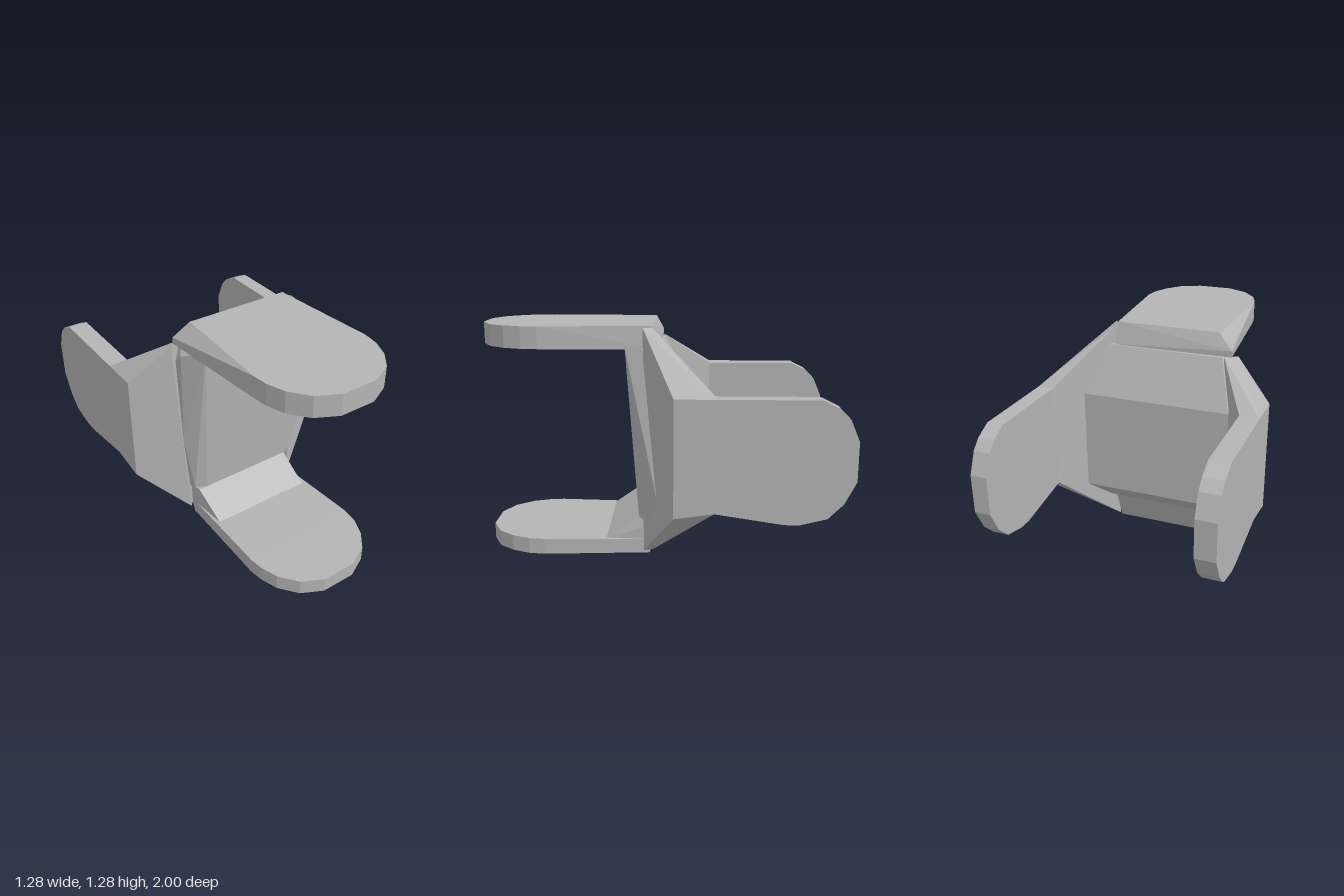
import * as THREE from 'three';
import { ConvexGeometry } from 'three/addons/geometries/ConvexGeometry.js';

export function createModel() {
  const group = new THREE.Group();
  const grey = new THREE.MeshStandardMaterial({ color: 0xb4b4b4, flatShading: true });
  grey.name = 'plain grey';

  // Faceted solid from its corner points
  const solid = (name, corners) => {
    const geo = new ConvexGeometry(corners.map((c) => new THREE.Vector3(...c)));
    const mesh = new THREE.Mesh(geo, grey);
    mesh.name = name;
    group.add(mesh);
  };

  // Rounded end shared by both front tongues, as x, z
  const frontEnd = [[0.34, 0.66], [0.33, 0.75], [0.29, 0.85], [0.22, 0.94], [0.1, 1],
    [-0.1, 1], [-0.22, 0.94], [-0.3, 0.84], [-0.335, 0.74], [-0.345, 0.66]];
  const slab = (y0, y1) => frontEnd.flatMap(([x, z]) => [[x, y0, z], [x, y1, z]]);

  // Upper tongue with a slanted left flank
  solid('upperTongue', [...slab(1.165, 1.285),
    [0.285, 1.285, 0.05], [-0.315, 1.285, 0.05],
    [0.29, 1.16, 0.01], [-0.4, 1.165, 0.01], [-0.4, 1.2, 0.01]]);

  // Lower tongue and the ramp joining it to the hub
  solid('lowerTongue', [...slab(0, 0.09),
    [0.3, 0, 0.07], [-0.34, 0, 0.07], [0.3, 0.08, 0.07], [-0.34, 0.08, 0.07]]);
  solid('lowerRamp', [
    [0.28, 0.21, 0.13], [-0.34, 0.21, 0.13], [0.29, 0.08, 0.32], [-0.32, 0.08, 0.32],
    [0.3, 0, 0.07], [-0.34, 0, 0.07], [0.3, 0.18, 0], [-0.34, 0.18, 0]]);

  // Hub with bevelled back and uneven front flanks
  solid('hub', [
    [0.28, 1.165, 0.2], [-0.315, 1.165, 0.2], [0.28, 0.21, 0.13], [-0.285, 0.21, 0.13],
    [0.29, 1.165, 0.1], [0.48, 0.37, 0.02], [0.38, 0.21, 0.08],
    [-0.39, 1.11, 0.07], [-0.39, 0.55, 0.06], [-0.35, 0.21, 0.1],
    [0.34, 1.16, 0], [-0.35, 1.16, 0], [0.43, 0.89, -0.13], [-0.43, 0.89, -0.13],
    [0.43, 0.3, -0.13], [-0.43, 0.3, -0.13], [0.36, 0.18, 0], [-0.36, 0.18, 0]]);

  // Rear tongue outline, as z, y
  const rearEnd = [[-0.28, 0.96], [-0.81, 0.96], [-0.9, 0.915], [-0.95, 0.865], [-1, 0.75],
    [-1, 0.54], [-0.94, 0.42], [-0.86, 0.34], [-0.72, 0.305], [-0.64, 0.305], [-0.28, 0.36]];

  // Side wings and rear tongues
  for (const s of [1, -1]) {
    const side = s > 0 ? 'left' : 'right';
    const inner = s > 0 ? 0.55 : 0.53;
    // The upper corner sits lower on the right wing
    const top = s > 0
      ? [[0.315, 1.275, 0.1], [0.285, 1.275, 0.05]]
      : [[0.43, 1.165, 0.04], [0.36, 1.165, 0]];
    const bottom = s > 0
      ? [[0.34, 0.03, 0.1], [0.3, 0.02, 0.05]]
      : [[0.37, 0.06, 0.08], [0.33, 0.06, 0.04]];
    const wing = [...top, ...bottom,
      [0.64, 0.96, -0.07], [0.64, 0.33, -0.07],
      [0.64, 0.96, -0.28], [0.64, 0.36, -0.28],
      [inner, 0.96, -0.28], [inner, 0.36, -0.28]];
    solid(side + 'Wing', wing.map(([x, y, z]) => [s * x, y, z]));
    solid(side + 'RearTongue', rearEnd.flatMap(([z, y]) => [[s * 0.64, y, z], [s * inner, y, z]]));
  }
  return group;
}
